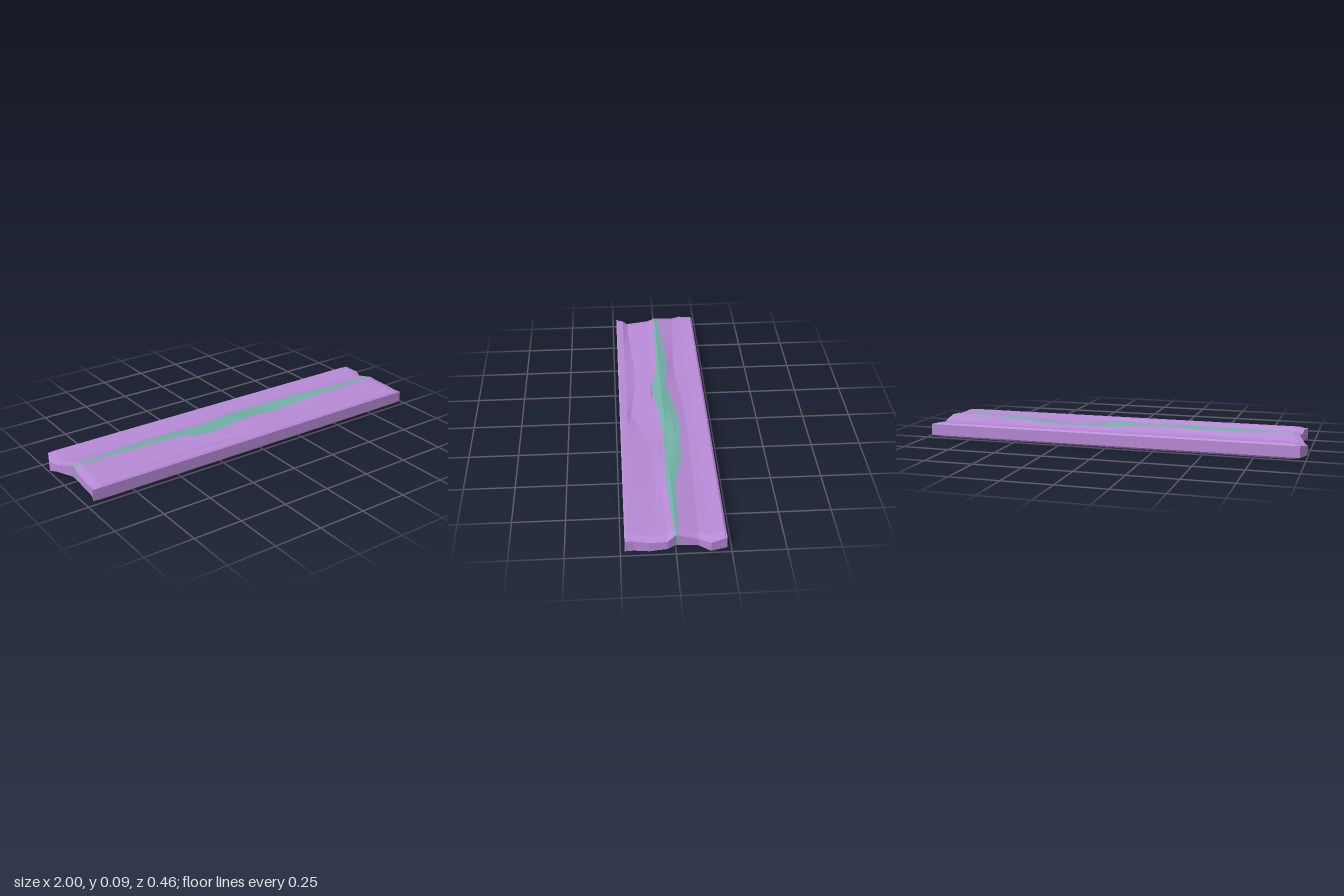
import * as THREE from 'three';

const lerpTable = (pts, v) => {
  if (v <= pts[0][0]) return pts[0][1];
  for (let i = 1; i < pts.length; i++) {
    const [a, p] = pts[i - 1], [b, q] = pts[i];
    if (v <= b) return p + (q - p) * (v - a) / (b - a);
  }
  return pts[pts.length - 1][1];
};

// Ragged end outlines: x for each z
const leftEnd = [[-0.23, -0.97], [-0.155, -1], [-0.13, -0.99], [-0.02, -0.945], [0.18, -0.945], [0.23, -0.965]];
const rightEnd = [[-0.23, 0.98], [-0.155, 1], [-0.09, 0.965], [0, 0.967], [0.04, 0.99], [0.12, 0.99], [0.15, 0.975], [0.23, 0.98]];

// Lines running along the slab: z or y for each x
const veinBack = [[-0.95, -0.015], [-0.48, -0.048], [-0.21, -0.027], [-0.02, -0.064], [0.11, -0.075], [0.42, -0.064], [0.62, -0.021], [0.97, -0.01]];
const veinFront = [[-0.95, 0.006], [-0.4, 0.016], [-0.23, 0.053], [0, 0.027], [0.25, 0.011], [0.62, 0.021], [0.97, 0.006]];
const backValley = [[-0.95, -0.112], [-0.4, -0.08], [-0.18, -0.1], [0.1, -0.115], [0.6, -0.11], [0.97, -0.1]];
const frontValley = [[-0.95, 0.165], [-0.32, 0.134], [0, 0.17], [0.25, 0.09], [0.6, 0.07], [0.97, 0.12]];
const frontValleyY = [[-0.95, 0.058], [0, 0.064], [0.97, 0.072]];
const dip = [[0, 0], [0.25, 1], [0.55, 0]];
const underside = [[-0.22, 0], [-0.155, 0.001], [-0.11, 0.01], [0, 0.014], [0.04, 0.012], [0.11, 0.005], [0.165, 0]];

// One cross-section: columns of [z, top, bottom]
function section(x) {
  const zb = lerpTable(veinBack, x), zf = lerpTable(veinFront, x);
  const d = lerpTable(dip, x);
  const crest = 0.092 - 0.03 * d;
  const zm = zb * 0.55;
  const cols = [
    [-0.22, 0.076], [-0.155, 0.067], [lerpTable(backValley, x), 0.066],
    [zb, 0.092 + 0.2 * zb - 0.002 * d], [zm, 0.092 + 0.2 * zm - 0.008 * d],
    [0, crest], [zf, crest - 0.45 * zf * (1 - d)],
    [zf * 0.5 + 0.035, 0.074 - 0.01 * d],
    [lerpTable(frontValley, x), lerpTable(frontValleyY, x)],
    [0.19, 0.075], [0.22, 0.076],
  ].map(([z, y]) => [z, y, lerpTable(underside, z)]);
  return [[-0.23, 0.068, 0.01], ...cols, [0.23, 0.068, 0.01]];
}

// Stations along the length; the first and last are the chamfered ends
function makeStations() {
  const xs = [-1, -0.96, -0.7, -0.48, -0.4, -0.3, -0.22, -0.1, 0, 0.11, 0.25, 0.42, 0.55, 0.62, 0.8, 0.96, 1];
  return xs.map((t, i) => {
    const end = i === 0 || i === xs.length - 1;
    return section(t * 0.97).map(([z, top, bot], j, all) => {
      const x = THREE.MathUtils.lerp(lerpTable(leftEnd, z), lerpTable(rightEnd, z), (t + 1) / 2);
      const chamfer = end && j > 0 && j < all.length - 1 ? 0.009 : 0;
      return { top: [x, top - chamfer, z], bot: [x, bot + chamfer, z] };
    });
  });
}

export function createModel() {
  const group = new THREE.Group();
  const stone = new THREE.MeshStandardMaterial({ color: 0xb78ad6, flatShading: true });
  stone.name = 'purple stone';
  const vein = new THREE.MeshStandardMaterial({ color: 0x72b0a6, flatShading: true });
  vein.name = 'teal vein';
  const st = makeStations();
  const last = st.length - 1, lastCol = st[0].length - 1;

  // Skin the columns from j0 to j1 over the full length
  const addBand = (name, j0, j1, material) => {
    const pos = [];
    const quad = (a, b, c, d) => pos.push(...a, ...b, ...c, ...a, ...c, ...d);
    for (let i = 0; i < last; i++) {
      const s = st[i], n = st[i + 1];
      for (let j = j0; j < j1; j++) {
        quad(s[j].top, s[j + 1].top, n[j + 1].top, n[j].top);
        quad(s[j].bot, n[j].bot, n[j + 1].bot, s[j + 1].bot);
      }
      // Outer long walls
      if (j0 === 0) quad(s[0].bot, s[0].top, n[0].top, n[0].bot);
      if (j1 === lastCol) quad(s[j1].bot, n[j1].bot, n[j1].top, s[j1].top);
    }
    // End faces
    const l = st[0], r = st[last];
    for (let j = j0; j < j1; j++) {
      quad(r[j].bot, r[j].top, r[j + 1].top, r[j + 1].bot);
      quad(l[j].bot, l[j + 1].bot, l[j + 1].top, l[j].top);
    }
    const geo = new THREE.BufferGeometry();
    geo.setAttribute('position', new THREE.Float32BufferAttribute(pos, 3));
    geo.computeVertexNormals();
    const mesh = new THREE.Mesh(geo, material);
    mesh.name = name;
    group.add(mesh);
  };

  addBand('backSlab', 0, 4, stone);
  addBand('centreVein', 4, 7, vein);
  addBand('frontSlab', 7, lastCol, stone);
  return group;
}
